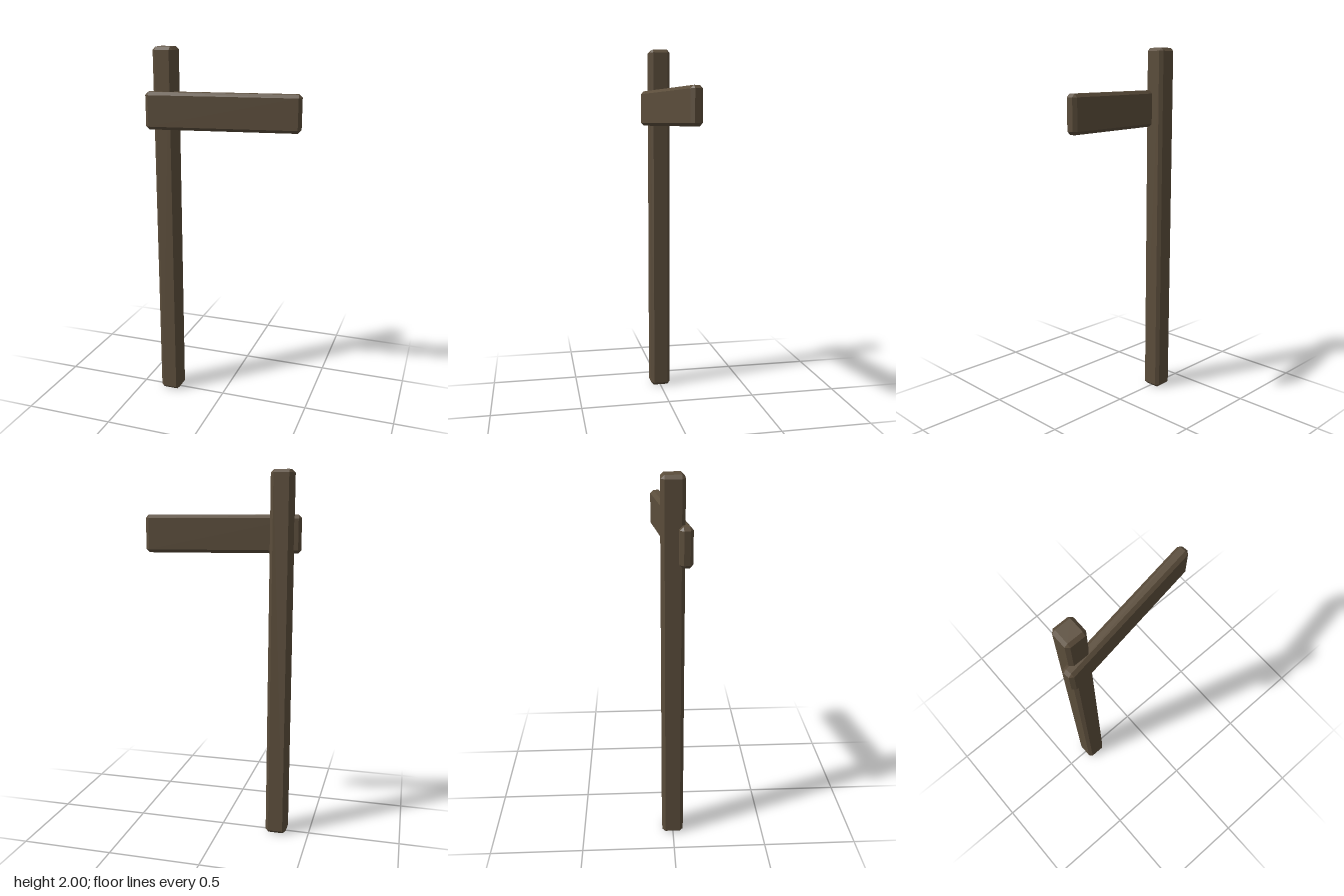
import * as THREE from 'three';
import { ConvexGeometry } from 'three/addons/geometries/ConvexGeometry.js';

// Box with every edge and corner cut flat by b
function chamferBox(w, h, d, b) {
  const points = [];
  for (const sx of [-1, 1]) for (const sy of [-1, 1]) for (const sz of [-1, 1]) {
    const x = w / 2, y = h / 2, z = d / 2;
    points.push(
      new THREE.Vector3(sx * x, sy * (y - b), sz * (z - b)),
      new THREE.Vector3(sx * (x - b), sy * y, sz * (z - b)),
      new THREE.Vector3(sx * (x - b), sy * (y - b), sz * z)
    );
  }
  return new ConvexGeometry(points);
}

export function createModel() {
  const group = new THREE.Group();
  group.name = 'signpost';
  const wood = new THREE.MeshStandardMaterial({ color: 0x5b4d3b });
  wood.name = 'dark wood';

  // Upright post
  const post = new THREE.Mesh(chamferBox(0.115, 2, 0.115, 0.017), wood);
  post.name = 'post';
  post.position.set(-0.318, 1, -0.002);
  group.add(post);

  // Blank board, set at a slight angle across the front of the post
  const board = new THREE.Mesh(chamferBox(0.83, 0.2, 0.065, 0.017), wood);
  board.name = 'signBoard';
  board.position.set(0, 1.67, 0);
  board.rotation.y = 0.15;
  group.add(board);

  return group;
}
